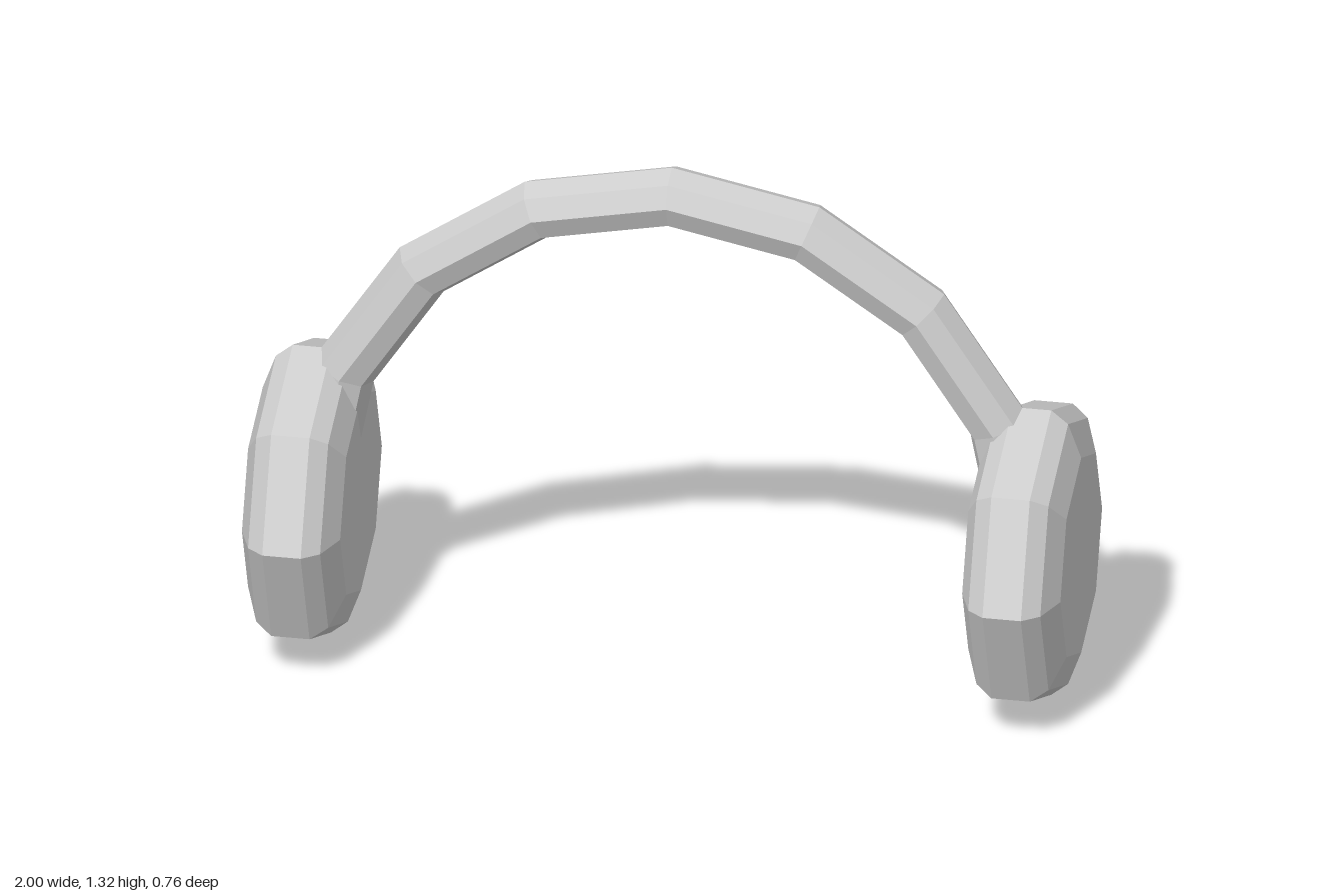
import * as THREE from 'three';

export function createModel() {
  const model = new THREE.Group();
  model.name = 'headphones';
  const grey = new THREE.MeshStandardMaterial({ color: 0xcccccc, flatShading: true });
  grey.name = 'light grey';

  // Headband: half ring whose ends sink into the ear cups
  const band = new THREE.Mesh(new THREE.TorusGeometry(0.865, 0.076, 8, 8, Math.PI), grey);
  band.name = 'headband';
  band.position.y = 0.38;
  model.add(band);

  // Ear cups: eight-sided discs with a two-step bevel (radius, offset along the axis)
  const half = [[0.38, 0.047], [0.347, 0.088], [0.26, 0.12], [0, 0.12]];
  const profile = [
    ...half.map(([r, t]) => new THREE.Vector2(r, -t)).reverse(),
    ...half.map(([r, t]) => new THREE.Vector2(r, t)),
  ];
  const cupGeometry = new THREE.LatheGeometry(profile, 8).rotateZ(Math.PI / 2);
  for (const side of [-1, 1]) {
    const cup = new THREE.Mesh(cupGeometry, grey);
    cup.name = side > 0 ? 'leftEarCup' : 'rightEarCup';
    cup.position.set(side * 0.88, 0.38, 0);
    model.add(cup);
  }
  return model;
}
